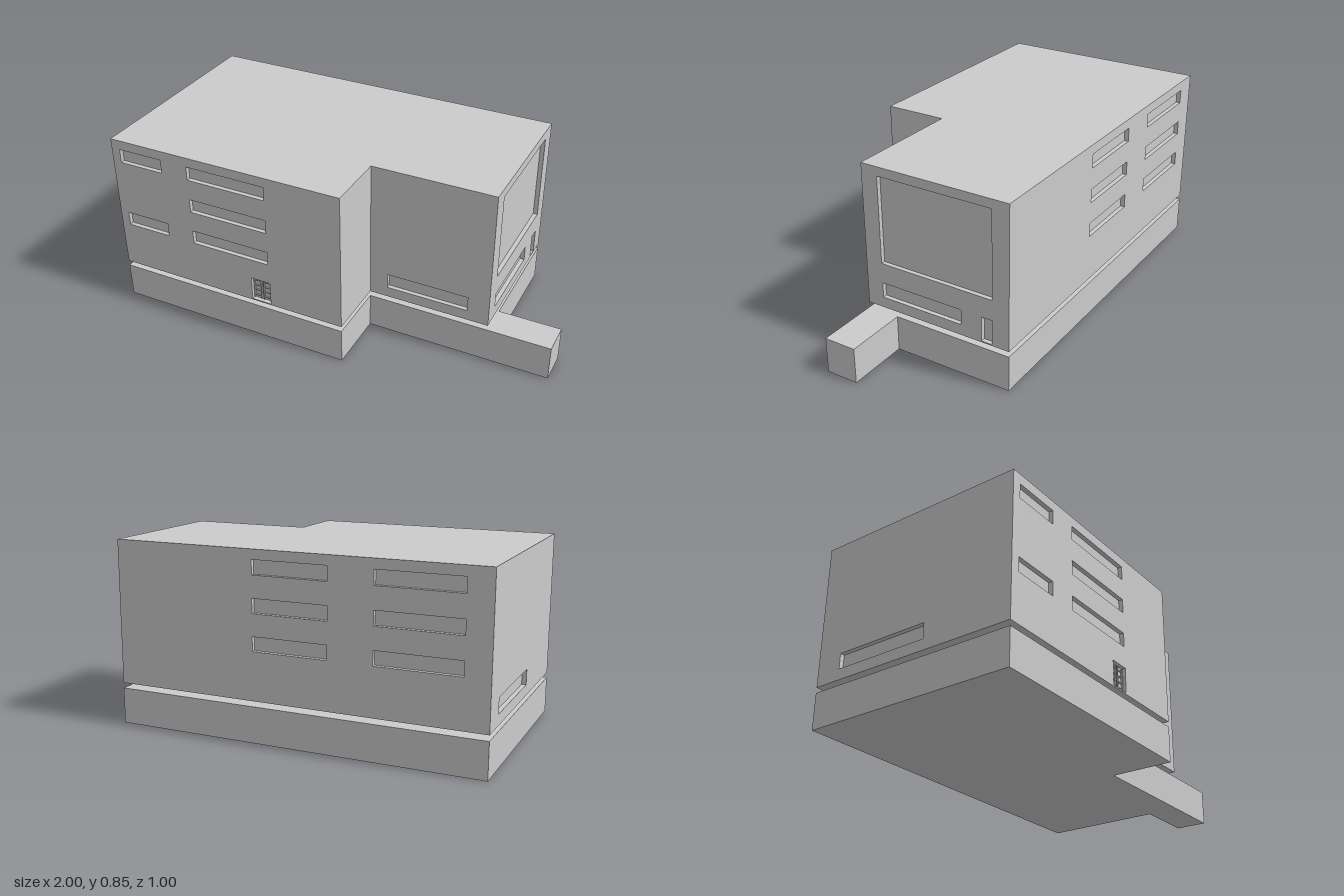
import * as THREE from 'three';

const mat = new THREE.MeshStandardMaterial({ color: 0xcccccc, flatShading: true });
const T = 0.02;                       // wall thickness = window recess
const Y0 = 0.19, Y1 = 0.85, SLAB = 0.005;

export function createModel() {
  const model = new THREE.Group();
  const add = (name, geometry, parent = model) => {
    const mesh = new THREE.Mesh(geometry, mat);
    mesh.name = name;
    parent.add(mesh);
    return mesh;
  };
  const shapeOf = pts => new THREE.Shape(pts.map(p => new THREE.Vector2(...p)));
  const extrude = (shape, depth) => new THREE.ExtrudeGeometry(shape, { depth, bevelEnabled: false });
  const box = (name, x0, x1, y0, y1, z0, z1, parent) =>
    add(name, new THREE.BoxGeometry(x1 - x0, y1 - y0, z1 - z0), parent)
      .position.set((x0 + x1) / 2, (y0 + y1) / 2, (z0 + z1) / 2);

  // Horizontal plate from an (x, z) outline
  const plate = (name, outline, y0, y1) => {
    const g = extrude(shapeOf(outline.map(([x, z]) => [x, -z])), y1 - y0);
    add(name, g.rotateX(-Math.PI / 2).translate(0, y0, 0));
  };
  // L-shaped footprint, optionally inset
  const footprint = (i = 0) => [
    [-1 + i, 0.5 - i], [0.14 - i, 0.5 - i], [0.14 - i, 0.21 - i],
    [0.71 - i, 0.21 - i], [0.71 - i, -0.5 + i], [-1 + i, -0.5 + i],
  ];

  // Plinth with its projecting arm
  plate('plinth', [
    [-1, 0.5], [0.14, 0.5], [0.14, 0.21], [1, 0.21],
    [1, 0.06], [0.71, 0.06], [0.71, -0.5], [-1, -0.5],
  ], 0, 0.165);

  // Floor slab, recessed core (window panes) and roof
  plate('floorSlab', footprint(), Y0, Y0 + SLAB);
  plate('core', footprint(T), Y0 + SLAB, Y1 - SLAB);
  plate('roof', footprint(), Y1 - SLAB, Y1);

  // Wall panel along u, with rectangular openings [u0, u1, y0, y1]
  const wallGeometry = (u0, u1, openings) => {
    const rect = (a, b, c, d) => [[a, c], [b, c], [b, d], [a, d]];
    const shape = shapeOf(rect(u0, u1, Y0 + SLAB, Y1 - SLAB));
    for (const o of openings) shape.holes.push(shapeOf(rect(...o).reverse()));
    return extrude(shape, T);
  };
  const wallX = (name, x0, x1, zMin, openings) =>
    add(name, wallGeometry(x0, x1, openings).translate(0, 0, zMin));
  const wallZ = (name, z0, z1, xMax, openings) =>
    add(name, wallGeometry(z0, z1, openings).rotateY(-Math.PI / 2).translate(xMax, 0, 0));

  // Window rows of the upper floors and the ground floor
  const rows = [[0.74, 0.805], [0.575, 0.64], [0.41, 0.475]];
  const ground = [0.24, 0.31];
  const doorY = [Y0 + SLAB + 0.001, 0.31];

  wallX('frontWall', -1, 0.14, 0.5 - T, [
    ...rows.map(r => [-0.605, -0.22, ...r]),
    [-0.957, -0.74, ...rows[0]], [-0.957, -0.74, ...rows[2]],
    [-0.31, -0.215, ...doorY],
  ]);
  wallX('recessedFrontWall', 0.14 - T, 0.71, 0.21 - T, [[0.225, 0.61, ...ground]]);
  wallX('backWall', -1, 0.71, -0.5, rows.flatMap(r => [
    [-0.307, 0.039, ...r], [-0.89, -0.51, ...r],
  ]));
  wallZ('leftWall', -0.5 + T, 0.21 - T, 0.71, [
    [-0.42, 0.13, 0.405, 0.808], [-0.27, 0.13, ...ground], [-0.42, -0.37, ...doorY],
  ]);
  wallZ('notchWall', 0.21, 0.5 - T, 0.14, []);
  wallZ('rightWall', -0.5 + T, 0.5 - T, -1 + T, [[-0.376, 0.077, ...ground]]);

  // Double front door: stiles and glazing bars on each leaf
  const door = new THREE.Group();
  door.name = 'frontDoor';
  model.add(door);
  for (const x of [-0.307, -0.258]) {
    for (const s of [0, 0.036])
      box('doorStile', x + s, x + s + 0.004, 0.2, 0.305, 0.478, 0.488, door);
    for (const y of [0.21, 0.237, 0.264, 0.291])
      box('doorBar', x, x + 0.04, y, y + 0.005, 0.478, 0.486, door);
  }

  // Entrance stair bridging the gap between plinth and floor
  const stairPart = (name, profile, x0, x1) => {
    const g = extrude(shapeOf(profile), x1 - x0);
    add(name, g.rotateY(-Math.PI / 2).translate(x1, 0, 0));
  };
  stairPart('stairFlight', [[0.385, 0.165], [0.415, 0.165], [0.45, 0.19], [0.385, 0.19]], -0.115, 0.01);
  for (const x of [-0.115, 0])
    stairPart('stairRail', [[0.337, 0.165], [0.343, 0.165], [0.376, 0.19], [0.37, 0.19]], x, x + 0.01);

  return model;
}
